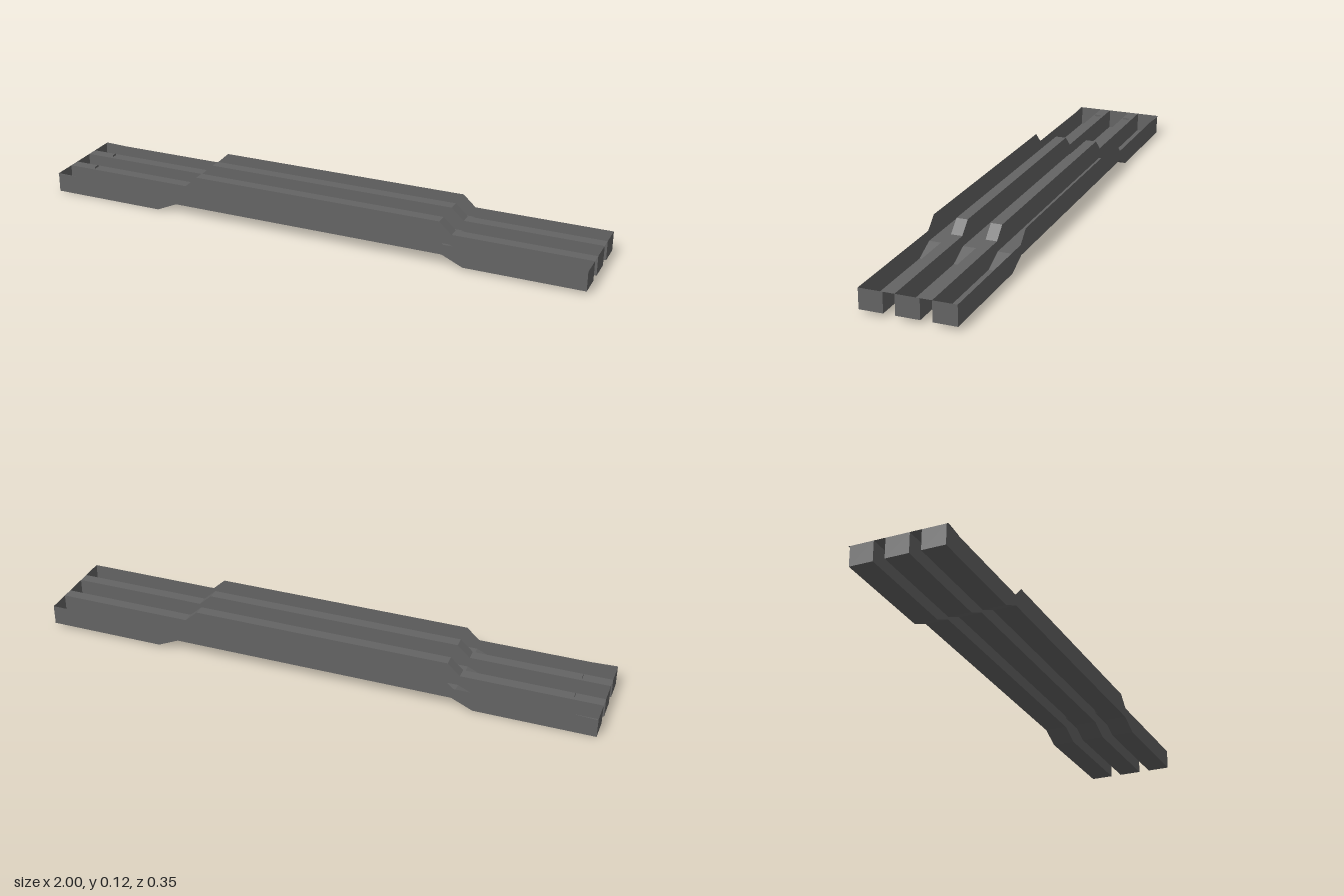
import * as THREE from 'three';

const WALLS = [-0.163, -0.081, -0.041, 0.041, 0.081, 0.163];
const STATIONS = [-1, -0.58, -0.51, -0.505, -0.465, 0.465, 0.505, 0.51, 0.58, 1];
const DEPTH = 0.071;

const material = new THREE.MeshStandardMaterial({ color: 0x646464, flatShading: true, side: THREE.DoubleSide });

// Height of the raised middle, ramping between |x| = outer and |x| = inner
const ramp = (x, rise, inner, outer) => rise * THREE.MathUtils.clamp((outer - Math.abs(x)) / (outer - inner), 0, 1);
const tilt = (x) => 0.0065 * (x + 1);
const floorY = (x) => tilt(x) + ramp(x, 0.034, 0.505, 0.58);
const crestY = (x) => tilt(x) + DEPTH + ramp(x, 0.0415, 0.465, 0.51);

// Points of the bent sheet, which runs slightly askew
const skew = (x, z) => z - 0.004 - 0.007 * x;
const low = (x, z) => [x, floorY(x), skew(x, z)];
const high = (x, z, lift = 0) => [x, crestY(x) + lift, skew(x, z)];

// Surface between two rows of points
function strip(name, rowA, rowB) {
  const pos = [];
  for (let i = 0; i < rowA.length - 1; i++) {
    const a = rowA[i], b = rowA[i + 1], c = rowB[i + 1], d = rowB[i];
    pos.push(...a, ...b, ...c, ...a, ...c, ...d);
  }
  const geometry = new THREE.BufferGeometry();
  geometry.setAttribute('position', new THREE.Float32BufferAttribute(pos, 3));
  geometry.computeVertexNormals();
  const mesh = new THREE.Mesh(geometry, material);
  mesh.name = name;
  return mesh;
}

export function createModel() {
  const group = new THREE.Group();
  group.name = 'crankedTroughPanel';

  // Upright webs along the full length
  WALLS.forEach((z, i) => {
    const name = i === 0 || i === 5 ? 'sideWall' : 'web';
    group.add(strip(name, STATIONS.map((x) => low(x, z)), STATIONS.map((x) => high(x, z))));
  });

  for (let i = 0; i < 5; i++) {
    const z0 = WALLS[i], z1 = WALLS[i + 1];
    if (i % 2 === 0) {
      // Open trough: floor and two end caps
      group.add(strip('troughFloor', STATIONS.map((x) => low(x, z1)), STATIONS.map((x) => low(x, z0))));
      for (const x of [-1, 1]) {
        const zs = x > 0 ? [z1, z0] : [z0, z1];
        group.add(strip('endCap', zs.map((z) => low(x, z)), zs.map((z) => high(x, z))));
      }
    } else {
      // Ridge joining two troughs, open underneath, with a small stop tab
      group.add(strip('ridge', STATIONS.map((x) => high(x, z1)), STATIONS.map((x) => high(x, z0))));
      const mid = (z0 + z1) / 2;
      const tab = [mid + 0.012, mid - 0.012];
      group.add(strip('stopTab', tab.map((z) => high(-0.9, z)), tab.map((z) => high(-0.9, z, 0.007))));
    }
  }

  // Tapering lips on the outer top edges of one end
  for (const side of [-1, 1]) {
    const edge = 0.163 * side;
    group.add(strip('endLip',
      [high(-1, edge), high(-0.92, edge)],
      [high(-1, edge + 0.006 * side), high(-0.92, edge + 0.001 * side)]));
  }
  return group;
}
